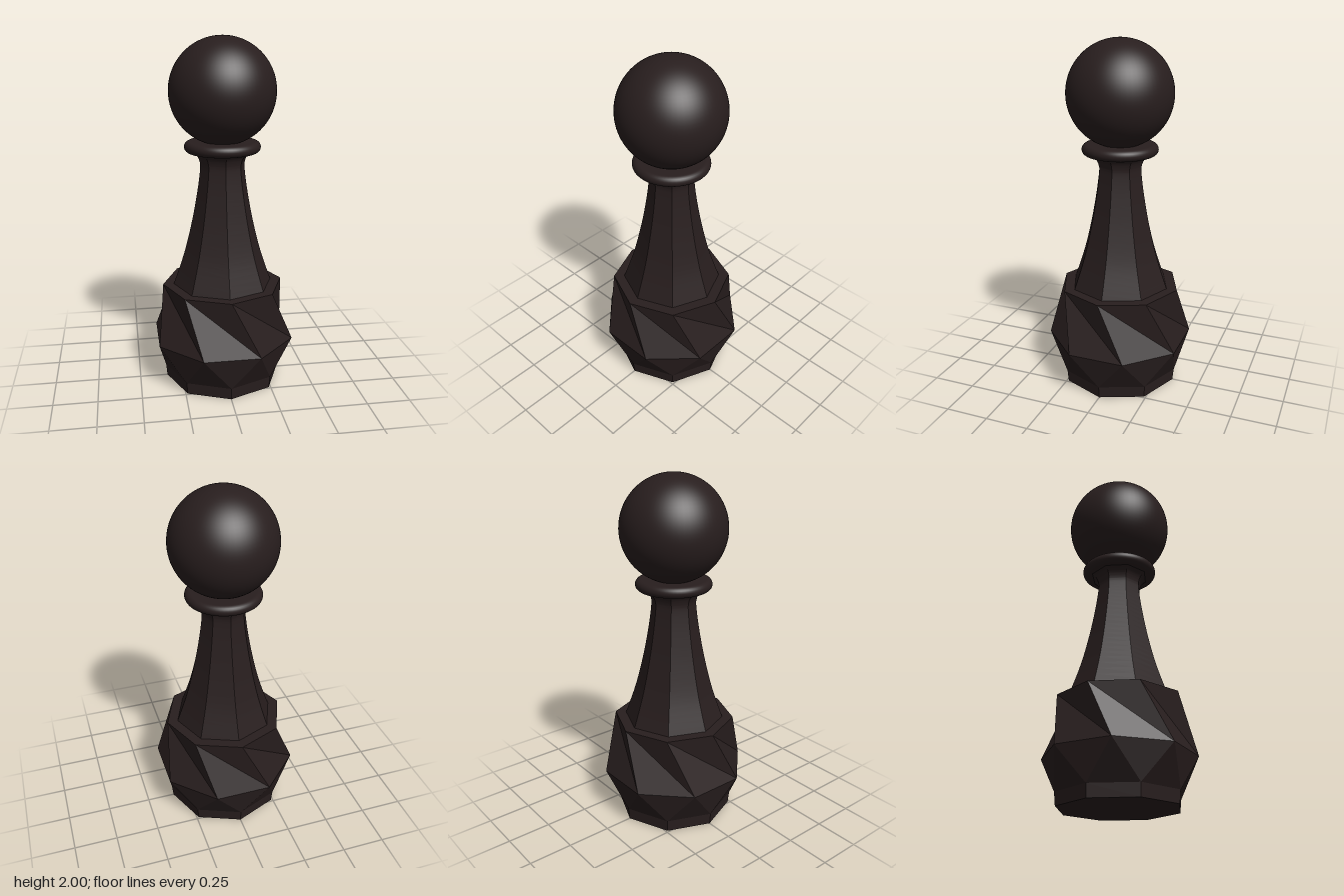
import * as THREE from 'three';
import { toCreasedNormals } from 'three/addons/utils/BufferGeometryUtils.js';

const SIDES = 8;

// Octagonal ring of points; turn is a fraction of one side, starting from +z
function ring(radius, y, turn = 0) {
  return Array.from({ length: SIDES }, (_, i) => {
    const a = ((i + turn) / SIDES) * Math.PI * 2;
    return [radius * Math.sin(a), y, radius * Math.cos(a)];
  });
}

// Triangles joining two rings
function band(out, low, high) {
  for (let i = 0; i < SIDES; i++) {
    const j = (i + 1) % SIDES;
    out.push(...low[i], ...low[j], ...high[i]);
    out.push(...low[j], ...high[j], ...high[i]);
  }
}

// Flat octagonal cap facing up or down
function cap(out, points, up) {
  const centre = [0, points[0][1], 0];
  points.forEach((p, i) => {
    const q = points[(i + 1) % SIDES];
    out.push(...centre, ...(up ? p : q), ...(up ? q : p));
  });
}

function fromPositions(positions) {
  const g = new THREE.BufferGeometry();
  g.setAttribute('position', new THREE.Float32BufferAttribute(positions, 3));
  g.computeVertexNormals();
  return g;
}

export function createModel() {
  const group = new THREE.Group();
  const ebony = new THREE.MeshStandardMaterial({ color: 0x281e1e });
  ebony.name = 'ebony';

  const add = (name, geometry) => {
    const mesh = new THREE.Mesh(geometry, ebony);
    mesh.name = name;
    group.add(mesh);
    return mesh;
  };

  // Faceted base: plinth, waist turned half a side, skewed upper facets
  const foot = ring(0.338, 0);
  const plinth = ring(0.345, 0.07);
  const waist = ring(0.421, 0.27, 0.5);
  const rim = ring(0.35, 0.59);
  const base = [];
  cap(base, foot, false);
  band(base, foot, plinth);
  band(base, plinth, waist);
  band(base, waist, rim);
  cap(base, rim, true);
  add('base', fromPositions(base));

  // Octagonal stem, smooth along its curve and creased between sides
  const curve = new THREE.SplineCurve([
    [0.295, 0.57], [0.226, 0.77], [0.178, 0.96], [0.144, 1.14], [0.127, 1.27],
    [0.13, 1.315], [0.148, 1.35], [0.185, 1.378],
  ].map(([r, y]) => new THREE.Vector2(r, y)));
  const rings = curve.getPoints(42).map((p) => ring(p.x, p.y));
  const stem = [];
  for (let i = 0; i + 1 < rings.length; i++) band(stem, rings[i], rings[i + 1]);
  add('stem', toCreasedNormals(fromPositions(stem), 0.45));

  // Round collar with a rolled edge
  const profile = [new THREE.Vector2(0, 1.365)];
  for (let i = 0; i <= 12; i++) {
    const a = -Math.PI / 2 + (i / 12) * Math.PI;
    profile.push(new THREE.Vector2(0.184 + 0.031 * Math.cos(a), 1.396 + 0.031 * Math.sin(a)));
  }
  profile.push(new THREE.Vector2(0, 1.427));
  add('collar', new THREE.LatheGeometry(profile, 64));

  // Ball head
  const head = add('head', new THREE.SphereGeometry(0.298, 64, 40));
  head.position.y = 1.702;

  return group;
}
